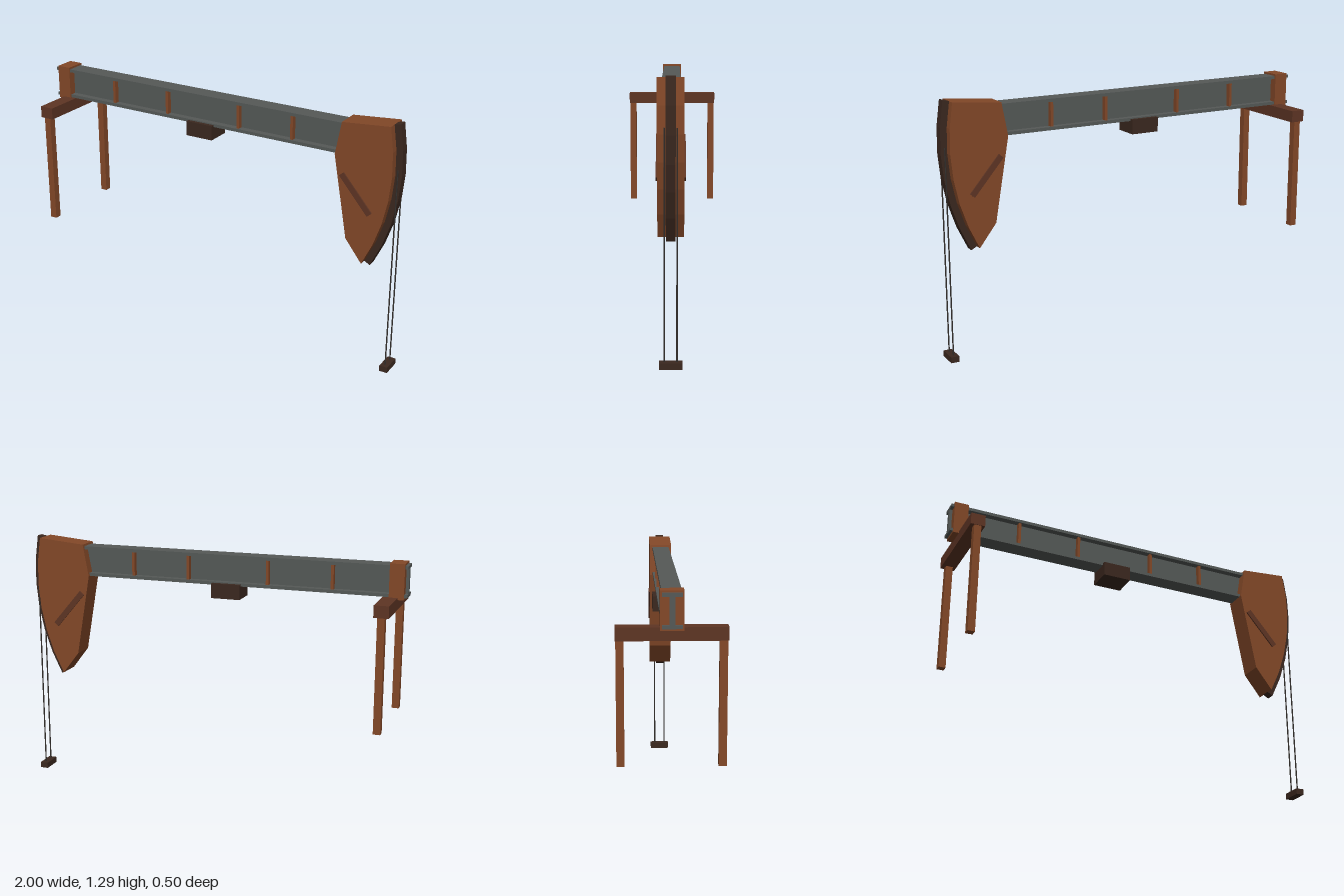
import * as THREE from 'three';

const mat = (color) => new THREE.MeshStandardMaterial({ color, flatShading: true, side: THREE.DoubleSide });

export function createModel() {
  const model = new THREE.Group();
  const steel = mat(0x555957), rust = mat(0x834828), darkRust = mat(0x5e3524), iron = mat(0x3b281f), cable = mat(0x34302d);

  const add = (name, geometry, material) => {
    const mesh = new THREE.Mesh(geometry, material);
    mesh.name = name;
    model.add(mesh);
    return mesh;
  };
  // Box given by its extents on each axis
  const box = (name, [x0, x1], [y0, y1], [z0, z1], material) => {
    const mesh = add(name, new THREE.BoxGeometry(x1 - x0, y1 - y0, z1 - z0), material);
    mesh.position.set((x0 + x1) / 2, (y0 + y1) / 2, (z0 + z1) / 2);
    return mesh;
  };
  // Outline in the xy plane, extruded symmetrically about z = 0
  const slab = (name, points, halfDepth, material) => {
    const geometry = new THREE.ExtrudeGeometry(new THREE.Shape(points), { depth: 2 * halfDepth, bevelEnabled: false });
    return add(name, geometry.translate(0, 0, -halfDepth), material);
  };

  // Walking beam: an I section with web stiffeners
  const w = 0.045, t = 0.016, web = 0.012, y0 = 1.1, y1 = 1.255;
  const half = [[w, y0], [w, y0 + t], [web, y0 + t], [web, y1 - t], [w, y1 - t], [w, y1]];
  const section = [...half, ...half.map(([x, y]) => [-x, y]).reverse()].map(([x, y]) => new THREE.Vector2(x, y));
  const beam = new THREE.ExtrudeGeometry(new THREE.Shape(section), { depth: 1.75, bevelEnabled: false });
  add('walkingBeam', beam.rotateY(Math.PI / 2).translate(-1, 0, 0), steel);
  for (const x of [-0.63, -0.3, 0.12, 0.42])
    for (const s of [-1, 1])
      box('stiffener', [x - 0.007, x + 0.007], [y0 + t, y1 - t], s > 0 ? [web, 0.038] : [-0.038, -web], rust);

  // Pivot saddle under the beam
  box('pivotSaddle', [-0.165, -0.015], [1.035, 1.11], [-0.065, 0.065], iron);

  // Tail block, crossbar and hanging arms
  box('tailBlock', [-0.985, -0.912], [1.09, 1.265], [-0.052, 0.052], rust);
  box('crossbar', [-0.955, -0.882], [1.04, 1.1], [-0.248, 0.248], darkRust);
  for (const s of [-1, 1]) {
    const arm = box('pitmanArm', [-0.936, -0.9], [0.47, 1.045], [-0.018, 0.018], rust);
    arm.position.z = s * 0.227;
  }

  // Curved head with its track, both following arcs around the pivot
  const arc = (radius) => Array.from({ length: 7 }, (_, i) => {
    const a = 0.196 - 0.117 * i;
    return new THREE.Vector2(-0.1 + radius * Math.cos(a), 1.08 + radius * Math.sin(a));
  });
  const back = [[0.74, 0.68], [0.665, 1.1], [0.695, 1.265]].map(([x, y]) => new THREE.Vector2(x, y));
  slab('horseHead', [...arc(1.062), ...back], 0.06, rust);
  slab('cableTrack', [...arc(1.095), ...arc(1.06).reverse()], 0.022, iron);
  for (const s of [-1, 1]) {
    const brace = add('headBrace', new THREE.BoxGeometry(0.235, 0.03, 0.012), darkRust);
    brace.position.set(0.783, 0.92, s * 0.061);
    brace.rotation.z = -0.86;
  }

  // Bridle cables and carrier bar
  for (const z of [-0.028, 0.028])
    add('bridleCable', new THREE.CylinderGeometry(0.0035, 0.0035, 1.05, 6), cable).position.set(0.975, 0.545, z);
  box('carrierBar', [0.954, 0.996], [0, 0.03], [-0.052, 0.052], iron);

  return model;
}
